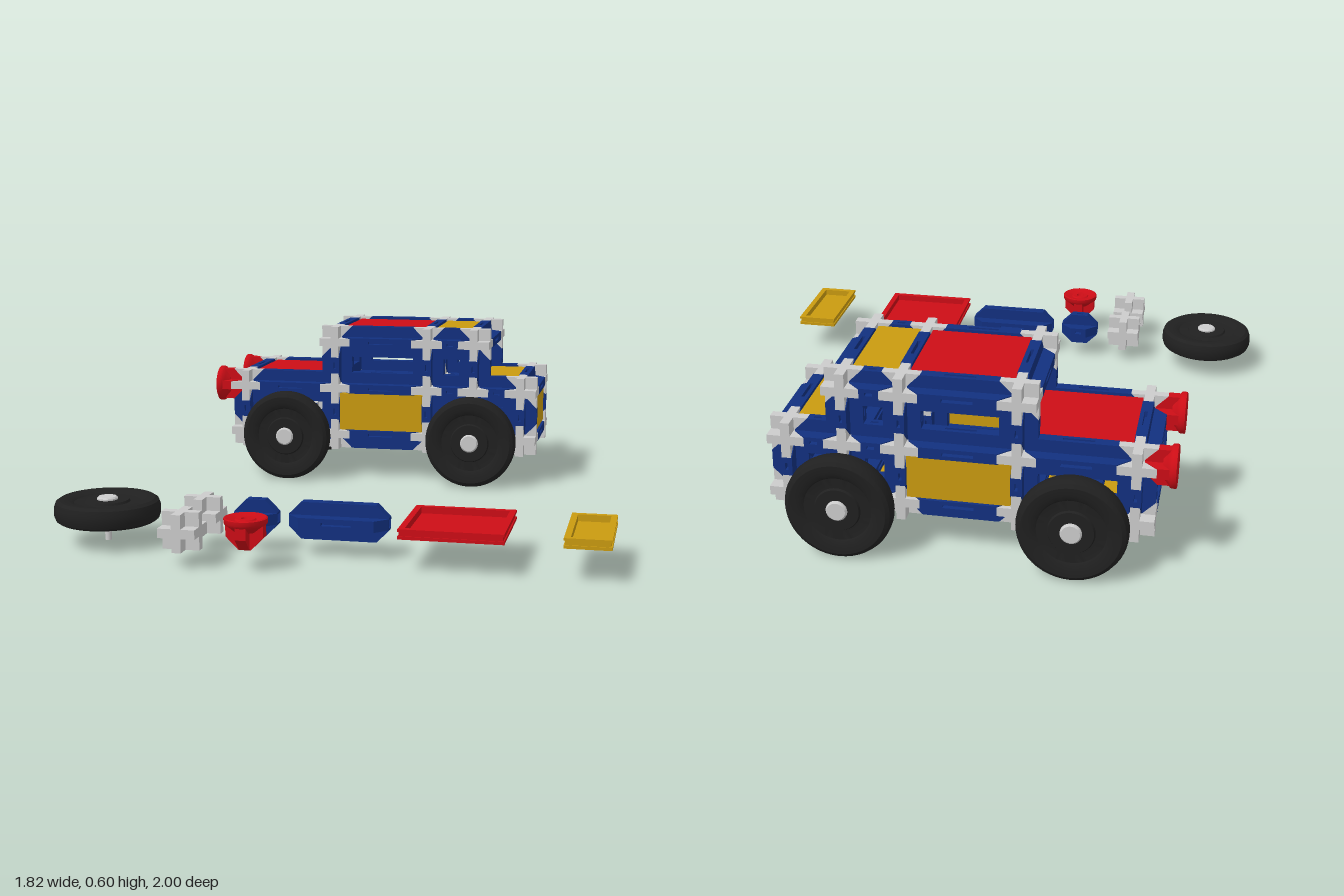
import * as THREE from 'three';
import { toCreasedNormals, mergeGeometries } from 'three/addons/utils/BufferGeometryUtils.js';

const U = 0.182; // grid pitch
const X0 = -0.61, Y0 = 0.174, Z0 = -0.849;
const H = 0.06; // half width of connectors and struts

const paint = (color) => new THREE.MeshStandardMaterial({ color });
const grey = paint(0xcccccc), blue = paint(0x12307f), red = paint(0xcc0d16);
const yellow = paint(0xc99a10), black = paint(0x202020);

// grid coordinates to position
const at = (i, j, k) => new THREE.Vector3(X0 + i * U, Y0 + j * U, Z0 + k * U);

function slab(points, thickness, offset = 0) {
  const shape = new THREE.Shape(points.map(([x, y]) => new THREE.Vector2(x, y)));
  const g = new THREE.ExtrudeGeometry(shape, { depth: thickness, bevelEnabled: false });
  return g.translate(0, 0, offset - thickness / 2);
}

// connector: three square plates crossing at right angles
const nodeGeo = mergeGeometries([
  new THREE.BoxGeometry(2 * H, 2 * H, 0.03),
  new THREE.BoxGeometry(2 * H, 0.03, 2 * H),
  new THREE.BoxGeometry(0.03, 2 * H, 2 * H),
]);

// strut: two crossed fins with mitred, slotted ends and a groove along each edge
function strutGeometry(half) {
  const a = half - H, b = half - 0.02, s = 0.014, n = a * 0.4;
  const end = [[a, -H], [b, -0.02], [b, -s], [a, -s], [a, s], [b, s], [b, 0.02], [a, H]];
  const otherEnd = end.map(([x, y]) => [-x, -y]);
  const full = [...end, ...otherEnd];
  const g = 0.04;
  const grooved = [...end, [n, H], [n, g], [-n, g], [-n, H],
    ...otherEnd, [-n, -H], [-n, -g], [n, -g], [n, -H]];
  const fin = mergeGeometries([
    slab(full, 0.013, 0.0115), slab(full, 0.013, -0.0115), slab(grooved, 0.01),
  ]);
  return mergeGeometries([fin, fin.clone().rotateX(Math.PI / 2)]);
}
const strutGeo = { 1: strutGeometry(U / 2), 2: strutGeometry(U) };

// panel: shallow tray, flat side down
function panelGeometry(w, d) {
  const rect = (S, x, z) => new S([[-x, -z], [x, -z], [x, z], [-x, z]]
    .map(([p, q]) => new THREE.Vector2(p / 2, q / 2)));
  const ring = (x, z, y, h) => {
    const s = rect(THREE.Shape, x, z);
    s.holes.push(rect(THREE.Path, w - 0.04, d - 0.04));
    return new THREE.ExtrudeGeometry(s, { depth: h, bevelEnabled: false })
      .rotateX(-Math.PI / 2).translate(0, y, 0).toNonIndexed();
  };
  return mergeGeometries([
    new THREE.BoxGeometry(w, 0.01, d).translate(0, -0.011, 0).toNonIndexed(),
    ring(w - 0.008, d - 0.008, -0.006, 0.014),
    ring(w, d, 0.008, 0.008),
  ].map((g) => (g.index ? g.toNonIndexed() : g)));
}
const LONG = 0.326, SHORT = 0.144;

const lathe = (pts, n) => toCreasedNormals(
  new THREE.LatheGeometry(pts.map(([x, y]) => new THREE.Vector2(x, y)), n), 0.55);

const tyreGeo = lathe([[0, -0.005], [0.118, -0.005], [0.13, -0.036], [0.155, -0.037],
  [0.167, -0.029], [0.173, -0.012], [0.173, 0.012], [0.167, 0.029], [0.155, 0.037],
  [0.13, 0.036], [0.112, 0.029], [0.108, 0.026], [0.074, 0.026], [0.07, 0.033],
  [0, 0.033]], 48);
const hubGeo = lathe([[0, 0.02], [0.034, 0.02], [0.034, 0.038], [0.029, 0.043], [0, 0.043]], 32);
const lampGeo = lathe([[0, 0.075], [0.035, 0.075], [0.052, 0.09], [0.066, 0.1], [0.068, 0.104],
  [0.068, 0.118], [0.064, 0.12], [0.034, 0.112], [0.03, 0.116], [0.014, 0.116],
  [0.01, 0.108], [0, 0.108]], 32);
const lampFin = slab([[-0.02, 0.02], [-0.014, 0.02], [-0.014, 0.06], [0.014, 0.06], [0.014, 0.02],
  [0.02, 0.02], [0.06, 0.06], [0.06, 0.1], [-0.06, 0.1], [-0.06, 0.06]], 0.034);

function add(parent, name, geo, mat, pos) {
  const m = new THREE.Mesh(geo, mat);
  m.name = name;
  if (pos) m.position.copy(pos);
  parent.add(m);
  return m;
}

// wheel: outer face towards +y, axle pin towards -y
function addWheel(parent, name, pos, rx = 0) {
  const w = new THREE.Group();
  w.name = name;
  add(w, 'tyre', tyreGeo, black);
  add(w, 'hubCap', hubGeo, grey);
  add(w, 'hubBoss', new THREE.CylinderGeometry(0.035, 0.04, 0.03, 32).translate(0, -0.018, 0), black);
  add(w, 'axlePin', new THREE.CylinderGeometry(0.011, 0.011, 0.1, 16).translate(0, -0.053, 0), grey);
  w.position.copy(pos);
  w.rotation.x = rx;
  parent.add(w);
}

// lamp: lens towards +y
function addLamp(parent, name, pos, rz = 0) {
  const l = new THREE.Group();
  l.name = name;
  add(l, 'lens', lampGeo, red);
  for (let q = 0; q < 2; q++) add(l, 'lampFin', lampFin, red).rotation.y = q * Math.PI / 2;
  l.position.copy(pos);
  l.rotation.z = rz;
  parent.add(l);
}

function addStrut(parent, p, q) {
  const a = at(...p), b = at(...q), d = b.clone().sub(a);
  const m = add(parent, 'strut', strutGeo[Math.round(d.length() / U)], blue, a.add(b).multiplyScalar(0.5));
  if (d.y > 0.1) m.rotation.z = Math.PI / 2;
  if (d.z > 0.1) m.rotation.y = Math.PI / 2;
}

function addPanel(parent, name, w, d, mat, pos, rx = 0, rz = 0) {
  add(parent, name, panelGeometry(w, d), mat, pos).rotation.set(rx, 0, rz);
}

export function createModel() {
  const model = new THREE.Group();
  model.name = 'constructionSet';
  const car = new THREE.Group();
  car.name = 'car';
  model.add(car);

  // frame: connector columns per level, mirrored on both sides
  const levels = [[0, 1, 2, 4, 5, 6], [0, 2, 4, 5, 6], [2, 4, 5]];
  levels.forEach((cols, j) => {
    for (const k of [0, 2]) {
      cols.forEach((i, n) => {
        add(car, 'connector', nodeGeo, grey, at(i, j, k));
        if (n) addStrut(car, [cols[n - 1], j, k], [i, j, k]);
        if (j && levels[j - 1].includes(i)) addStrut(car, [i, j - 1, k], [i, j, k]);
      });
    }
    for (const i of cols) if (!(j === 1 && i === 4)) addStrut(car, [i, j, 0], [i, j, 2]);
  });

  // top panels
  const OUT = 0.035 / U, PI = Math.PI;
  addPanel(car, 'hoodPanel', LONG, LONG, red, at(1, 1 + OUT, 1), PI);
  addPanel(car, 'roofPanel', LONG, LONG, red, at(3, 2 + OUT, 1), PI);
  addPanel(car, 'rearRoofPanel', SHORT, LONG, yellow, at(4.5, 2 + OUT, 1), PI);
  addPanel(car, 'trunkPanel', SHORT, LONG, yellow, at(5.5, 1 + OUT, 1), PI);
  // floor panels
  for (const i of [0.5, 1.5, 4.5, 5.5]) addPanel(car, 'floorPanel', SHORT, LONG, yellow, at(i, -OUT, 1));
  addPanel(car, 'middleFloorPanel', LONG, LONG, red, at(3, -OUT, 1));
  // doors and end panels
  addPanel(car, 'doorPanel', LONG, SHORT, yellow, at(3, 0.5, 2 + OUT), -PI / 2);
  addPanel(car, 'doorPanel', LONG, SHORT, yellow, at(3, 0.5, -OUT), PI / 2);
  addPanel(car, 'tailPanel', SHORT, LONG, yellow, at(6 + OUT, 0.5, 1), 0, PI / 2);
  addPanel(car, 'nosePanel', SHORT, LONG, yellow, at(-OUT, 0.5, 1), 0, -PI / 2);

  // wheels and headlamps
  for (const i of [1, 5]) {
    addWheel(car, 'wheel', at(i, 0, 2 + 0.11 / U), PI / 2);
    addWheel(car, 'wheel', at(i, 0, -0.11 / U), -PI / 2);
  }
  for (const k of [0, 2]) addLamp(car, 'headlamp', at(0, 1, k), PI / 2);

  // loose sample parts laid out in front
  const loose = new THREE.Group();
  loose.name = 'looseParts';
  model.add(loose);
  const v = (x, y, z) => new THREE.Vector3(x, y, z);
  addWheel(loose, 'looseWheel', v(-0.74, 0.113, 0.705));
  add(loose, 'looseConnector', nodeGeo, grey, v(-0.41, 0.113, 0.705));
  add(loose, 'looseConnector', nodeGeo, grey, v(-0.41, 0.113, 0.915));
  add(loose, 'looseShortStrut', strutGeo[1], blue, v(-0.23, 0.113, 0.705));
  add(loose, 'looseLongStrut', strutGeo[2], blue, v(0.042, 0.113, 0.705));
  addLamp(loose, 'looseLamp', v(-0.2, 0.048, 0.93));
  addPanel(loose, 'looseSquarePanel', LONG, LONG, red, v(0.422, 0.122, 0.705));
  addPanel(loose, 'looseNarrowPanel', SHORT, LONG, yellow, v(0.833, 0.122, 0.705));
  return model;
}
